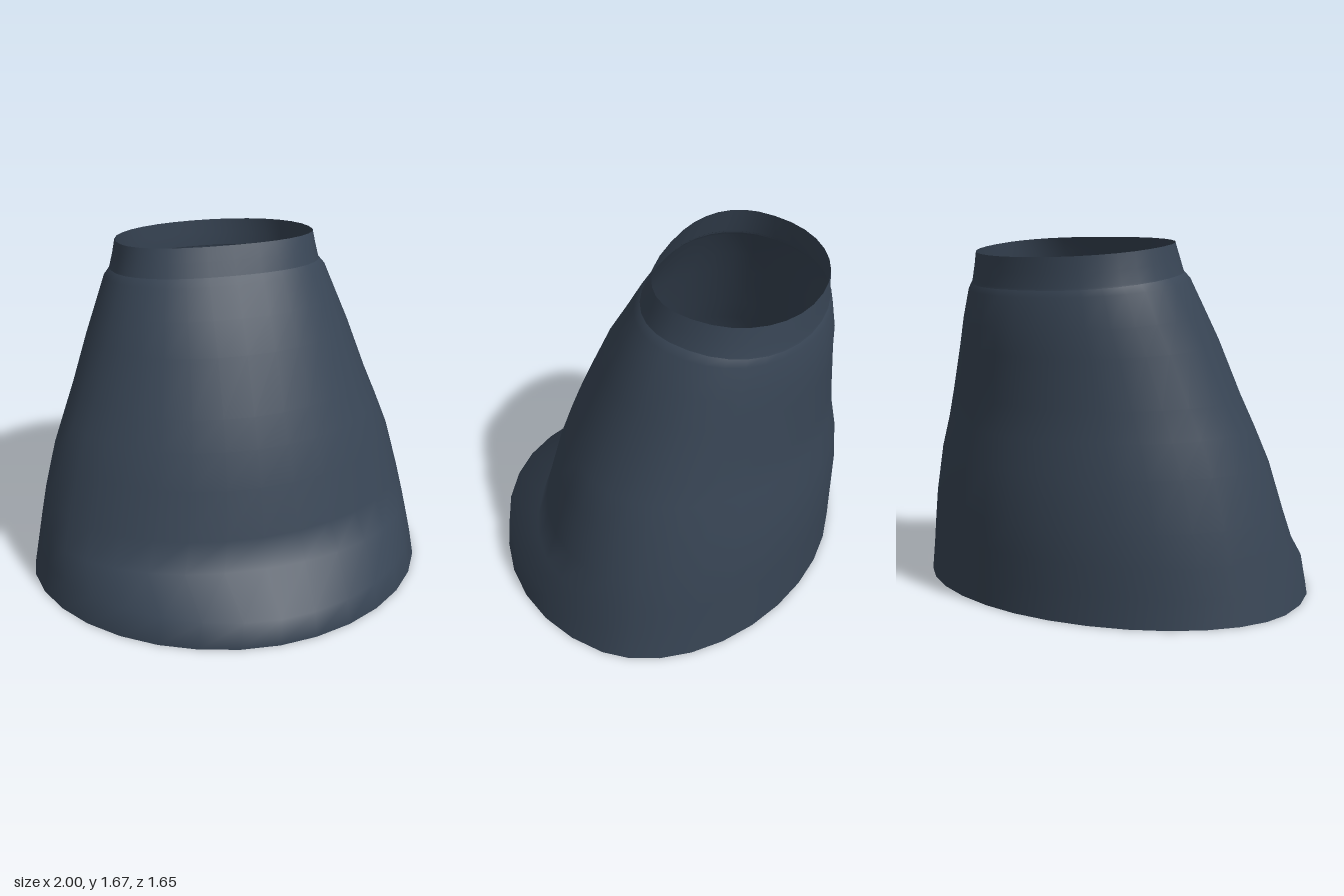
import * as THREE from 'three';

const SEGMENTS = 32;
const LEAN = 0.008; // slight drift towards the left with height

// One ring: front z, back z, half width, z of the widest point, height at the
// front, height at the back, roundness of the front half and of the back half.
function ringPoints([front, back, half, mid, yFront, yBack, frontPower = 2, backPower = 1.94]) {
  const points = [];
  for (let i = 0; i < SEGMENTS; i++) {
    const a = (i / SEGMENTS) * Math.PI * 2;
    const s = Math.sin(a), c = Math.cos(a);
    const p = c > 0 ? frontPower : backPower;
    const x = half * Math.sign(s) * Math.abs(s) ** (2 / p);
    const reach = Math.abs(c) ** (2 / p);
    const z = c > 0 ? mid + (front - mid) * reach : mid - (mid - back) * reach;
    const y = yFront + (yBack - yFront) * (front - z) / (front - back);
    points.push(x + LEAN * y, y, z);
  }
  return points;
}

// Open sleeve through a stack of rings, listed from bottom to top.
function sleeve(name, rings, material) {
  const positions = rings.flatMap(ringPoints);
  const index = [];
  for (let r = 0; r < rings.length - 1; r++) {
    for (let i = 0; i < SEGMENTS; i++) {
      const j = (i + 1) % SEGMENTS;
      const a = r * SEGMENTS + i, b = r * SEGMENTS + j;
      index.push(a, b, b + SEGMENTS, a, b + SEGMENTS, a + SEGMENTS);
    }
  }
  const geometry = new THREE.BufferGeometry();
  geometry.setAttribute('position', new THREE.Float32BufferAttribute(positions, 3));
  geometry.setIndex(index);
  geometry.computeVertexNormals();
  const mesh = new THREE.Mesh(geometry, material);
  mesh.name = name;
  return mesh;
}

export function createModel() {
  const cloth = new THREE.MeshStandardMaterial({ color: 0x384555, side: THREE.DoubleSide });
  cloth.name = 'slate blue';

  const model = new THREE.Group();
  model.name = 'flaredSleeve';

  // Flared body, with a lip that juts out low at the front
  model.add(sleeve('body', [
    [0.83, -0.81, 1.0, -0.11, 0, 0, 1.94],
    [0.83, -0.815, 0.975, -0.11, 0.14, 0.14, 1.9],
    [0.59, -0.82, 0.95, -0.12, 0.27, 0.27, 2.1],
    [0.55, -0.825, 0.92, -0.13, 0.42, 0.42, 1.97],
    [0.49, -0.815, 0.86, -0.15, 0.65, 0.65, 1.95],
    [0.43, -0.79, 0.8, -0.18, 0.82, 0.8, 1.97],
    [0.37, -0.785, 0.745, -0.21, 0.96, 0.94],
    [0.25, -0.78, 0.66, -0.26, 1.22, 1.16, 2.1],
    [0.16, -0.78, 0.605, -0.29, 1.37, 1.28, 2.2, 2],
    [0.08, -0.76, 0.55, -0.32, 1.51, 1.42, 2.3, 2.05],
    [0.05, -0.745, 0.52, -0.33, 1.545, 1.455, 2.35, 2.1],
  ], cloth));

  // Collar around the top opening, its lower edge tucked into the body
  model.add(sleeve('collar', [
    [0.055, -0.748, 0.524, -0.33, 1.535, 1.445, 2.35, 2.1],
    [0.048, -0.745, 0.519, -0.33, 1.55, 1.46, 2.35, 2.1],
    [0.02, -0.743, 0.503, -0.33, 1.612, 1.525, 2.4, 2.1],
    [-0.01, -0.742, 0.49, -0.33, 1.675, 1.595, 2.4, 2.1],
  ], cloth));

  return model;
}
